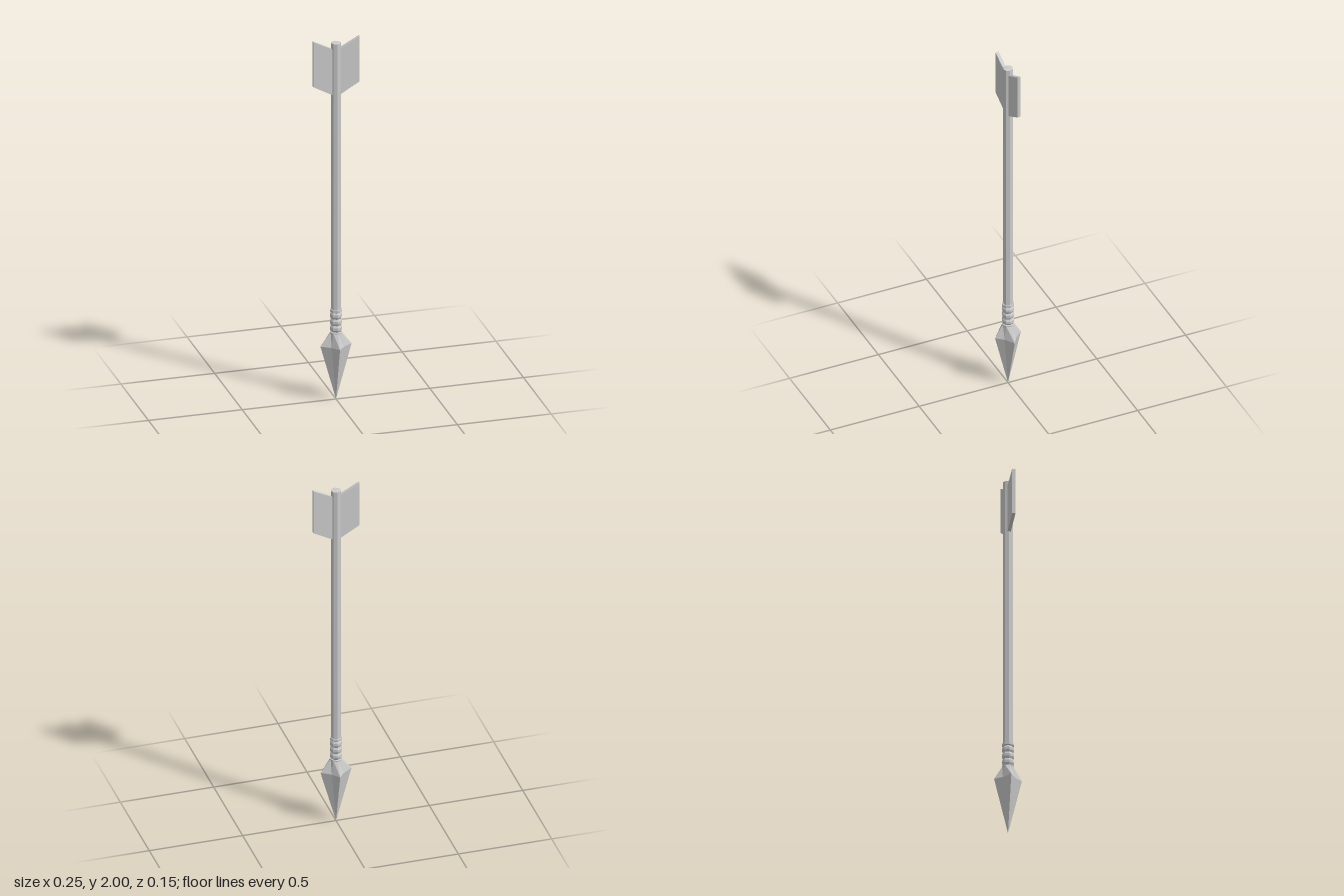
import * as THREE from 'three';

const material = new THREE.MeshStandardMaterial({ color: 0xcccccc, flatShading: true });

function addMesh(group, name, geometry) {
  const mesh = new THREE.Mesh(geometry, material);
  mesh.name = name;
  group.add(mesh);
  return mesh;
}

// Eight-sided turned part from [radius, y] pairs, listed bottom to top
function turned(profile) {
  return new THREE.LatheGeometry(profile.map(([r, y]) => new THREE.Vector2(r, y)), 8);
}

// Four-bladed point: the lathed ring at the widest level is pushed into a star
function headGeometry() {
  const wide = 0.3;
  const geometry = turned([[0, 0], [1, wide], [0.029, 0.375], [0, 0.375]]);
  const p = geometry.attributes.position;
  for (let i = 0; i < p.count; i++) {
    if (Math.abs(p.getY(i) - wide) > 0.001) continue;
    const x = p.getX(i), z = p.getZ(i);
    const diagonal = Math.abs(x * z) > 0.1;
    p.setX(i, x * (diagonal ? 0.046 : 0.083));
    p.setZ(i, z * (diagonal ? 0.048 : 0.073));
  }
  geometry.computeVertexNormals();
  return geometry;
}

export function createModel() {
  const group = new THREE.Group();
  group.name = 'arrow';

  addMesh(group, 'head', headGeometry());

  // Shaft with closed end
  addMesh(group, 'shaft', turned([[0, 0.36], [0.026, 0.36], [0.026, 1.978], [0, 1.98]]));

  // Wrapped cord: three bulging turns and a top lip
  const cord = [[0, 0.368], [0.032, 0.368], [0.032, 0.376]];
  for (let i = 0; i < 3; i++) {
    const y = 0.378 + i * 0.036;
    cord.push([0.026, y], [0.032, y + 0.011], [0.032, y + 0.025], [0.026, y + 0.036]);
  }
  cord.push([0.032, 0.49], [0.032, 0.502], [0, 0.502]);
  addMesh(group, 'binding', turned(cord));

  // Pair of swept vanes, turned slightly about the shaft
  const vanes = new THREE.Group();
  vanes.name = 'fletching';
  for (const side of [1, -1]) {
    const outline = [[0.005, 1.683], [0.125, 1.75], [0.125, 2], [0.005, 1.938]];
    const shape = new THREE.Shape(outline.map(([x, y]) => new THREE.Vector2(x * side, y)));
    const geometry = new THREE.ExtrudeGeometry(shape, { depth: 0.018, bevelEnabled: false });
    geometry.translate(0, 0, -0.009);
    addMesh(vanes, side > 0 ? 'leftVane' : 'rightVane', geometry);
  }
  vanes.rotation.y = 0.035;
  group.add(vanes);

  return group;
}
